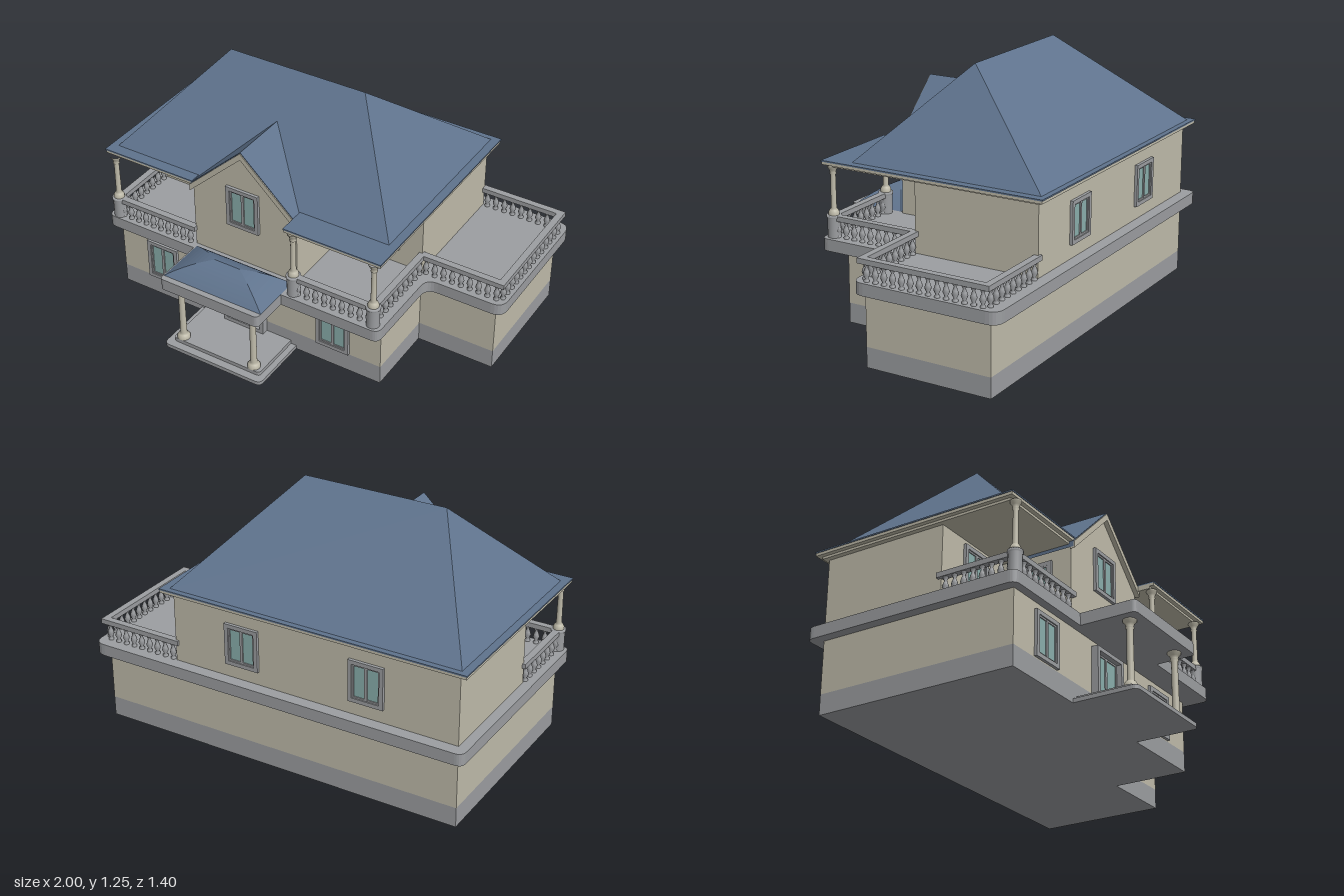
import * as THREE from 'three';

const mat = (name, color) => Object.assign(new THREE.MeshStandardMaterial({ color }), { name });

export function createModel() {
  const house = new THREE.Group();
  house.name = 'house';
  const cream = mat('cream wall', 0xc0bcab);
  const blue = mat('blue roof', 0x5f738d);
  const gray = mat('gray stone', 0x9c9ea1);
  const teal = mat('teal glass', 0x8bb0ad);

  const add = (name, geo, material, parent = house) => {
    const m = new THREE.Mesh(geo, material);
    m.name = name;
    parent.add(m);
    return m;
  };
  const box = (name, material, x0, x1, y0, y1, z0, z1, parent = house) => {
    const m = add(name, new THREE.BoxGeometry(x1 - x0, y1 - y0, z1 - z0), material, parent);
    m.position.set((x0 + x1) / 2, (y0 + y1) / 2, (z0 + z1) / 2);
    return m;
  };
  // Flat plan outline [x, z, cornerRadius] raised from y0 to y1
  const slab = (name, material, pts, y0, y1) => {
    const s = new THREE.Shape();
    const v = pts.map(([x, z]) => new THREE.Vector2(x, -z));
    const n = pts.length;
    pts.forEach(([, , r = 0], i) => {
      const p = v[i];
      const a = p.clone().add(v[(i + n - 1) % n].clone().sub(p).setLength(r));
      const b = p.clone().add(v[(i + 1) % n].clone().sub(p).setLength(r));
      if (i) s.lineTo(a.x, a.y); else s.moveTo(a.x, a.y);
      if (r) s.quadraticCurveTo(p.x, p.y, b.x, b.y);
    });
    s.closePath();
    const g = new THREE.ExtrudeGeometry(s, { depth: y1 - y0, bevelEnabled: false, curveSegments: 6 });
    g.rotateX(-Math.PI / 2).translate(0, y0, 0);
    return add(name, g, material);
  };
  // Front-facing outline extruded from z0 to z1
  const profile = (name, material, pts, z0, z1) => {
    const s = new THREE.Shape(pts.map(([x, y]) => new THREE.Vector2(x, y)));
    const g = new THREE.ExtrudeGeometry(s, { depth: z1 - z0, bevelEnabled: false });
    return add(name, g.translate(0, 0, z0), material);
  };
  // Hipped roof skinned over rectangular rings [x0, x1, z0, z1, y]
  const hipRoof = (name, rings) => {
    const pos = [];
    const corners = ([x0, x1, z0, z1, y]) => [[x0, y, z1], [x1, y, z1], [x1, y, z0], [x0, y, z0]];
    for (let i = 0; i + 1 < rings.length; i++) {
      const lo = corners(rings[i]), hi = corners(rings[i + 1]);
      for (let k = 0; k < 4; k++) {
        const j = (k + 1) % 4;
        pos.push(...lo[k], ...lo[j], ...hi[j], ...lo[k], ...hi[j], ...hi[k]);
      }
    }
    const g = new THREE.BufferGeometry();
    g.setAttribute('position', new THREE.Float32BufferAttribute(pos, 3));
    g.computeVertexNormals();
    return add(name, g, blue);
  };
  const lathe = (pts, seg) => new THREE.LatheGeometry(pts.map(([r, y]) => new THREE.Vector2(r, y)), seg);

  // Ground floor, with a set-back wing on the left
  const plan = [[-0.95, 0.38], [0.55, 0.38], [0.55, 0], [0.95, 0], [0.95, -0.645], [-0.95, -0.645]];
  slab('plinth', gray, plan, 0, 0.1);
  slab('groundWalls', cream, plan, 0.1, 0.37);

  // Floor slab that forms balcony, porch canopy and terrace
  slab('balconySlab', gray, [
    [-1, 0.42, 0.04], [-0.48, 0.42], [-0.48, 0.7, 0.025], [0.075, 0.7, 0.025], [0.075, 0.5],
    [0.6, 0.5, 0.04], [0.6, 0.04, 0.06], [1, 0.04, 0.06], [1, -0.705, 0.06], [-1, -0.705, 0.04],
  ], 0.36, 0.42);

  // Upper floor and projecting gable bay
  box('upperWalls', cream, -0.95, 0.55, 0.42, 0.79, -0.645, 0);
  profile('gableBay', cream, [[-0.49, 0.42], [0.09, 0.42], [0.09, 0.77], [-0.2, 1.04], [-0.49, 0.77]], -0.05, 0.38);

  // Stepped eaves with a blue covering, notched around the gable bay
  const eaves = d => [
    [-1 + d, 0.4 - d], [-0.485, 0.4 - d], [-0.485, 0.33], [0.085, 0.33], [0.085, 0.49 - d],
    [0.6 - d, 0.49 - d], [0.6 - d, -0.69 + d], [-1 + d, -0.69 + d],
  ];
  slab('eavesLower', cream, eaves(0.025), 0.77, 0.782);
  slab('eavesUpper', cream, eaves(0.003), 0.782, 0.796);
  slab('eavesCovering', blue, eaves(0), 0.796, 0.803);

  // Main roof and cross gable roof
  hipRoof('mainRoof', [[-0.965, 0.56, -0.665, 0.345, 0.8], [-0.575, 0.17, -0.09, -0.09, 1.25]]);
  const chevron = (drop, top, half) => [
    [-0.2 - half, top - half * 0.94], [-0.2 - half, top - drop - half * 0.94], [-0.2, top - drop],
    [-0.2 + half, top - drop - half * 0.94], [-0.2 + half, top - half * 0.94], [-0.2, top],
  ];
  profile('gableRoof', blue, chevron(0.03, 1.065, 0.3), 0.04, 0.398);
  profile('gableTrim', cream, chevron(0.035, 1.06, 0.298), 0.38, 0.403);

  // Curved canopy roof over the porch
  const rings = [];
  for (let i = 0; i <= 8; i++) {
    const t = i / 8, hx = 0.275 - 0.205 * t, hz = 0.135 * (1 - t);
    rings.push([-0.2 - hx, -0.2 + hx, 0.535 - hz, 0.535 + hz, 0.42 + 0.09 * (1 - (hx / 0.275) ** 2) + 0.005 * t]);
  }
  hipRoof('porchRoof', rings);

  // Porch steps
  slab('porchStep', gray, [[-0.48, 0.375], [-0.48, 0.7, 0.03], [0.08, 0.7, 0.03], [0.08, 0.375]], 0, 0.02);
  slab('porchFloor', gray, [[-0.45, 0.375], [-0.45, 0.66, 0.02], [0.05, 0.66, 0.02], [0.05, 0.375]], 0.02, 0.04);

  // Columns: turned base, slim shaft and spreading capital
  const column = (x, z, y0, y1, r) => {
    const h = y1 - y0;
    const g = lathe([[r * 1.9, 0], [r * 1.9, 0.012], [r * 1.5, 0.024], [r, 0.032], [r * 0.9, h - 0.045],
      [r * 1.25, h - 0.04], [r, h - 0.034], [r * 1.3, h - 0.02], [r * 1.9, h - 0.008], [r * 1.9, h]], 16);
    add('column', g, cream).position.set(x, y0, z);
  };
  for (const x of [-0.41, 0]) column(x, 0.63, 0.04, 0.362, 0.017);
  for (const [x, z] of [[-0.95, 0.385], [0.12, 0.458], [0.55, 0.458]]) {
    column(x, z, 0.53, 0.772, 0.014);
    const p = lathe([[0.032, 0], [0.032, 0.095], [0.036, 0.098], [0.036, 0.11], [0, 0.11]], 20);
    add('pedestal', p, gray).position.set(x, 0.42, z);
  }

  // Balustrades
  const balusterGeo = lathe([[0.013, 0], [0.013, 0.008], [0.007, 0.014], [0.016, 0.034], [0.012, 0.05],
    [0.006, 0.066], [0.011, 0.074], [0.013, 0.085]], 10);
  const balustrade = (x0, z0, x1, z1) => {
    const g = new THREE.Group();
    g.name = 'balustrade';
    house.add(g);
    const w = 0.017;
    box('handrail', gray, Math.min(x0, x1) - w, Math.max(x0, x1) + w, 0.503, 0.528,
      Math.min(z0, z1) - w, Math.max(z0, z1) + w, g);
    const n = Math.max(1, Math.round(Math.hypot(x1 - x0, z1 - z0) / 0.047));
    for (let i = 0; i < n; i++) {
      const t = (i + 0.5) / n;
      add('baluster', balusterGeo, gray, g).position.set(x0 + (x1 - x0) * t, 0.42, z0 + (z1 - z0) * t);
    }
  };
  balustrade(-0.95, 0.385, -0.5, 0.385);
  balustrade(-0.95, 0.385, -0.95, 0);
  balustrade(0.12, 0.458, 0.55, 0.458);
  balustrade(0.55, 0.458, 0.55, 0);
  balustrade(0.55, 0, 0.97, 0);
  balustrade(0.97, 0, 0.97, -0.64);
  balustrade(0.97, -0.64, 0.55, -0.64);

  // Framed openings, built facing +z then turned
  const opening = (name, x, y, z, w, h, turn = 0, depth = 0.015) => {
    const g = new THREE.Group();
    g.name = name;
    g.position.set(x, y, z);
    g.rotation.y = turn;
    house.add(g);
    const b = 0.02, a = w / 2, c = h / 2;
    for (const s of [-1, 1]) {
      box('frameSide', gray, s * (a - b / 2) - b / 2, s * (a - b / 2) + b / 2, -c, c, 0, depth, g);
      box('frameRail', gray, b - a, a - b, s * (c - b / 2) - b / 2, s * (c - b / 2) + b / 2, 0, depth, g);
      box('sashSide', gray, s * (a - b - 0.004) - 0.004, s * (a - b - 0.004) + 0.004, b - c, c - b, 0, 0.009, g);
      box('sashRail', gray, b - a, a - b, s * (c - b - 0.004) - 0.004, s * (c - b - 0.004) + 0.004, 0, 0.009, g);
    }
    box('mullion', gray, -0.007, 0.007, b - c, c - b, 0, 0.01, g);
    box('glass', teal, b - a, a - b, b - c, c - b, 0, 0.004, g);
    return g;
  };
  opening('groundWindow', -0.7, 0.215, 0.38, 0.18, 0.22);
  opening('groundWindow', 0.29, 0.215, 0.38, 0.18, 0.22);
  opening('gableWindow', -0.205, 0.73, 0.38, 0.18, 0.22);
  opening('balconyWindow', -0.7, 0.635, 0, 0.18, 0.22);
  opening('balconyWindow', 0.34, 0.615, 0, 0.18, 0.22);
  opening('baySideWindow', -0.49, 0.61, 0.19, 0.18, 0.21, -Math.PI / 2, 0.01);
  for (const x of [-0.49, 0.17]) opening('backWindow', x, 0.595, -0.645, 0.18, 0.21, Math.PI);

  // Entrance door with cream panels
  const door = opening('door', -0.205, 0.185, 0.38, 0.23, 0.29, 0, 0.035);
  box('doorPanel', cream, -0.095, -0.05, -0.125, 0.065, 0, 0.006, door);
  box('doorPanel', cream, 0.008, 0.08, -0.125, -0.045, 0, 0.006, door);

  return house;
}
